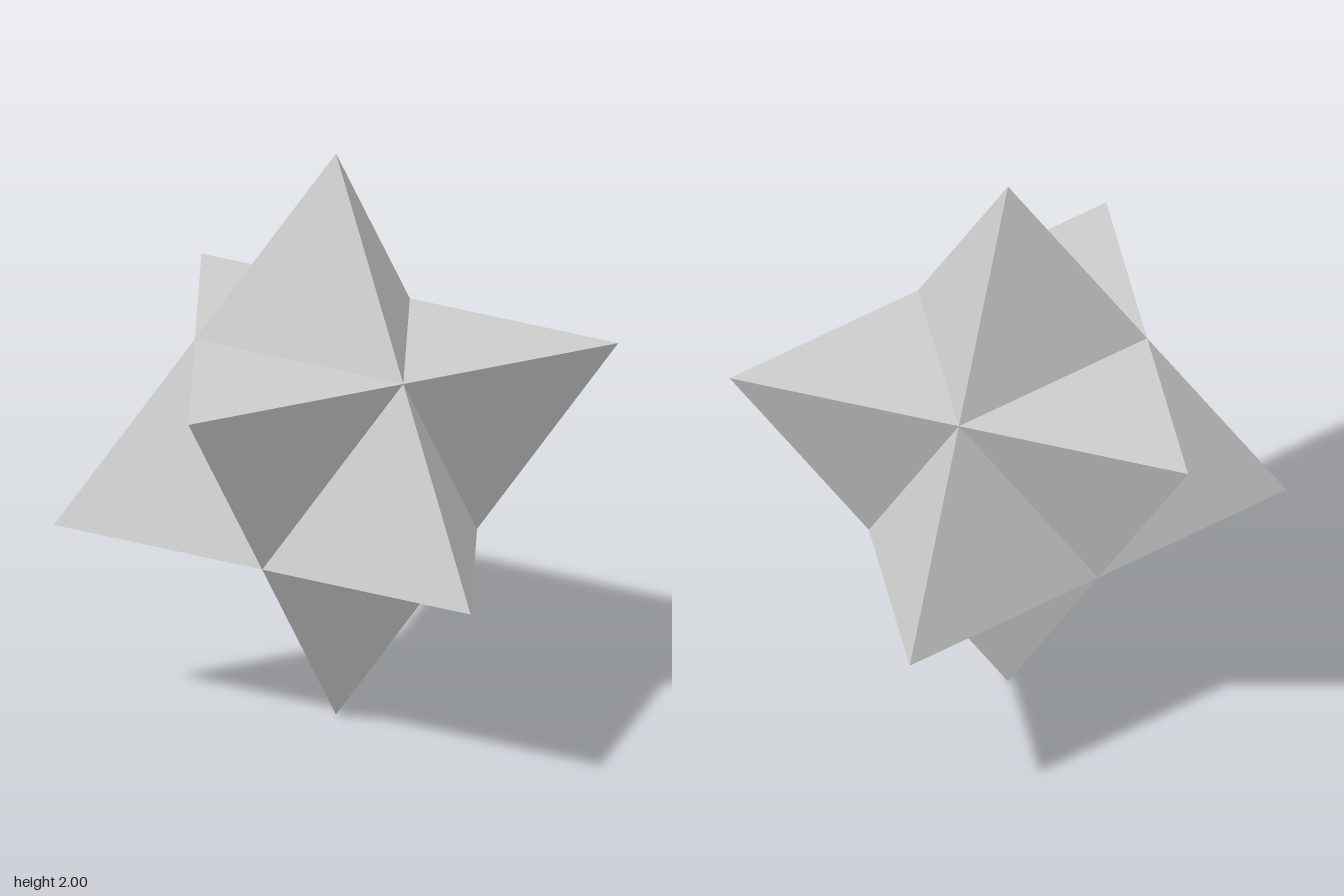
import * as THREE from 'three';

// Eight-pointed star: an octahedron with a three-sided spike on each face.
export function createModel() {
  const model = new THREE.Group();
  model.name = 'eightPointedStar';
  const grey = new THREE.MeshStandardMaterial({ color: 0xcccccc });
  grey.name = 'light grey';

  // Three perpendicular octahedron axes, tilted so that their sum points straight up
  const r = Math.SQRT2 / 3;
  const axes = [0, 1, 2].map((i) => {
    const t = (i * 2 * Math.PI) / 3;
    return new THREE.Vector3(r * Math.sin(t), 1 / 3, -r * Math.cos(t));
  });

  // One spike per octant: three flat faces meeting at the sum of its base corners
  function makeSpike(signs) {
    const base = axes.map((a, i) => a.clone().multiplyScalar(signs[i]));
    if (signs[0] * signs[1] * signs[2] > 0) base.reverse(); // keep faces outward
    const tip = base[0].clone().add(base[1]).add(base[2]);
    const corners = [];
    for (let i = 0; i < 3; i++) corners.push(base[i], base[(i + 1) % 3], tip);
    const geometry = new THREE.BufferGeometry().setFromPoints(corners);
    geometry.computeVertexNormals();
    return new THREE.Mesh(geometry, grey);
  }

  for (const a of [1, -1]) for (const b of [1, -1]) for (const c of [1, -1]) {
    const spike = makeSpike([a, b, c]);
    spike.name = a * b * c > 0 ? 'upperTetrahedronSpike' : 'lowerTetrahedronSpike';
    spike.position.y = 1;
    model.add(spike);
  }
  return model;
}
